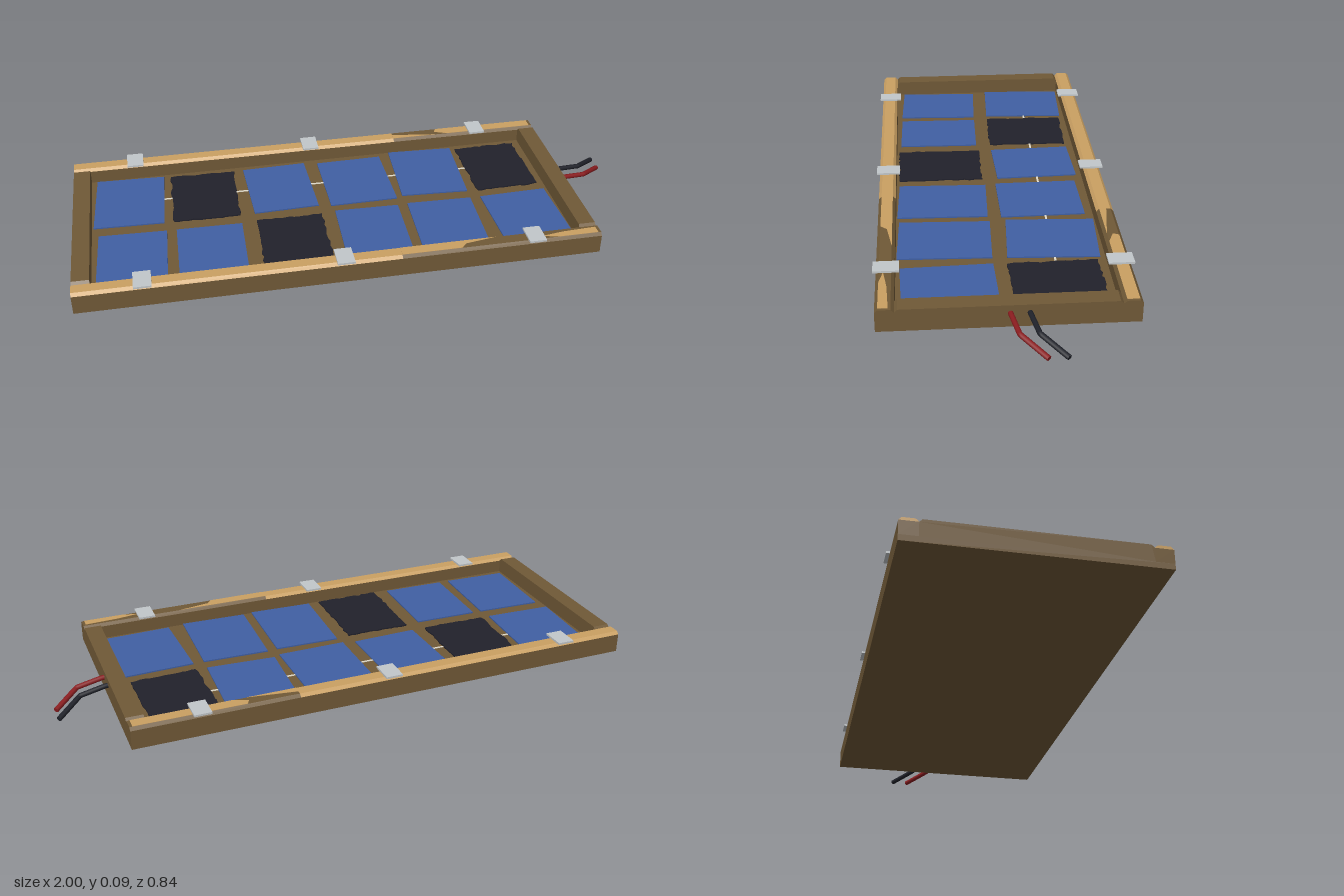
import * as THREE from 'three';

const mat = (name, color) => {
  const m = new THREE.MeshStandardMaterial({ color });
  m.name = name;
  return m;
};

export function createModel() {
  const group = new THREE.Group();
  const wood = mat('brown wood', 0x705937);
  const paleWood = mat('pale worn wood', 0xcaa062);
  const blue = mat('blue cell', 0x4060a4);
  const dark = mat('dark cell', 0x21212b);
  const metal = mat('clip metal', 0xc2c7ca);
  const cream = mat('tab wire', 0xe2dccb);
  const red = mat('red cable', 0x8c1d20);
  const black = mat('black cable', 0x20222a);

  const L = -1, R = 0.81, W = 0.41, TOP = 0.078, BEVEL = 0.01;
  const midX = (L + R) / 2;

  const add = (name, geo, material, x = 0, y = 0, z = 0) => {
    const m = new THREE.Mesh(geo, material);
    m.name = name;
    m.position.set(x, y, z);
    group.add(m);
    return m;
  };
  const box = (name, material, w, h, d, x, y, z) =>
    add(name, new THREE.BoxGeometry(w, h, d), material, x, y, z);
  const shape = (pts) => new THREE.Shape(pts.map(([x, y]) => new THREE.Vector2(x, y)));

  // Bar with a cross-section, chamfered along its top edges, running along x
  const bar = (name, material, x0, x1, z0, z1, y0, y1) => {
    const s = shape([[-z1, y0], [-z0, y0], [-z0, y1 - BEVEL], [-z0 - BEVEL, y1], [-z1 + BEVEL, y1], [-z1, y1 - BEVEL]]);
    const g = new THREE.ExtrudeGeometry(s, { depth: x1 - x0, bevelEnabled: false });
    g.rotateY(Math.PI / 2);
    return add(name, g, material, x0);
  };
  // Flat plate lying on the model, outlined in x and z
  const plate = (name, material, pts, y, thick) => {
    const g = new THREE.ExtrudeGeometry(shape(pts.map(([x, z]) => [x, -z])), { depth: thick, bevelEnabled: false });
    g.rotateX(-Math.PI / 2);
    return add(name, g, material, 0, y);
  };

  // Tray floor
  box('backBoard', wood, R - L, 0.02, 2 * W, midX, 0.01, 0);

  // Long rails, with a worn pale cap on part of their tops
  const rails = [{ name: 'backRail', z0: -W, z1: -0.35, split: 0.24 }, { name: 'frontRail', z0: 0.35, z1: W, split: 0.1 }];
  for (const { name, z0, z1, split } of rails) {
    const mid = TOP - BEVEL;
    box(name, wood, R - L, mid - 0.02, z1 - z0, midX, (mid + 0.02) / 2, (z0 + z1) / 2);
    bar(name + 'WornCap', paleWood, L, split, z0, z1, mid, TOP);
    bar(name + 'Cap', wood, split, R, z0, z1, mid, TOP);
  }
  // Worn patches on the brown part of the caps
  plate('backWornEdge', paleWood, [[0.24, -0.385], [0.33, -0.372], [0.41, -0.36], [0.24, -0.36]], TOP, 0.001);
  plate('backWornPatch', paleWood, [[0.42, -0.4], [0.8, -0.4], [0.8, -0.36], [0.46, -0.36], [0.41, -0.38]], TOP, 0.001);
  plate('frontWornEdge', paleWood, [[0.1, 0.36], [0.44, 0.36], [0.33, 0.378], [0.31, 0.4], [0.1, 0.4]], TOP, 0.001);
  plate('frontWornPatch', paleWood, [[0.6, 0.386], [0.68, 0.374], [0.8, 0.368], [0.8, 0.4], [0.66, 0.4]], TOP, 0.001);

  // Short end rails, chamfered on top and at the corners
  for (const [name, x] of [['rightEndRail', L + 0.03], ['leftEndRail', R - 0.03]]) {
    const h = 0.35;
    const s = shape([[-h, 0.02], [h, 0.02], [h, TOP - BEVEL], [h - BEVEL, TOP], [-h + BEVEL, TOP], [-h, TOP - BEVEL]]);
    const g = new THREE.ExtrudeGeometry(s, { depth: 0.06, bevelEnabled: false });
    g.rotateY(Math.PI / 2);
    add(name, g, wood, x - 0.03);
  }

  // Metal clips over the long rails
  for (const x of [-0.77, -0.095, 0.575])
    for (const side of [-1, 1])
      box('clip', metal, 0.06, 0.007, 0.085, x, 0.0825, side * 0.3775);

  // Cells: centre x, centre z, width, depth, turn in degrees, dark or not
  let seed = 7;
  const rand = () => ((seed = (seed * 16807) % 2147483647) / 2147483647) - 0.5;
  const cells = [
    [-0.8, -0.183, 0.25, 0.31, -2.5, 0], [-0.525, -0.172, 0.24, 0.3, -1, 1],
    [-0.24, -0.177, 0.24, 0.3, 2, 0], [0.052, -0.17, 0.25, 0.3, 1, 0],
    [0.333, -0.183, 0.25, 0.31, -2.5, 0], [0.604, -0.172, 0.235, 0.3, 1, 1],
    [-0.802, 0.175, 0.24, 0.3, -2, 0], [-0.527, 0.182, 0.235, 0.3, -1, 0],
    [-0.236, 0.184, 0.24, 0.31, -0.5, 1], [0.05, 0.183, 0.235, 0.32, -1.5, 0],
    [0.323, 0.184, 0.24, 0.32, -1.5, 0], [0.616, 0.178, 0.25, 0.31, 2, 0],
  ];
  for (const [x, z, w, d, turn, isDark] of cells) {
    // Dark cells have ragged edges
    const n = isDark ? 14 : 1;
    const rough = isDark ? 0.008 : 0.003;
    const corners = [[-w / 2, d / 2], [w / 2, d / 2], [w / 2, -d / 2], [-w / 2, -d / 2]];
    const pts = [];
    corners.forEach(([ax, az], i) => {
      const [bx, bz] = corners[(i + 1) % 4];
      for (let k = 0; k < n; k++) {
        const t = k / n;
        pts.push([ax + (bx - ax) * t + rand() * rough, az + (bz - az) * t + rand() * rough]);
      }
    });
    const cell = plate(isDark ? 'darkCell' : 'blueCell', isDark ? dark : blue, pts, 0.02, 0.005);
    cell.position.set(x, 0.02, z);
    cell.rotation.y = THREE.MathUtils.degToRad(turn);
  }
  // Tab wire joining the back row of cells
  box('tabWire', cream, 1.4, 0.002, 0.007, -0.1, 0.0215, -0.18);

  // Output cables from the left end
  const cable = (name, material, z) => {
    const p = [[0.79, 0.05, z], [0.82, 0.05, z - 0.004], [0.908, 0.041, z - 0.022], [0.994, 0.013, z - 0.1]]
      .map((a) => new THREE.Vector3(...a));
    const path = new THREE.CurvePath();
    for (let i = 0; i < 3; i++) path.add(new THREE.LineCurve3(p[i], p[i + 1]));
    add(name, new THREE.TubeGeometry(path, 24, 0.009, 8), material);
    // Cut end
    const end = add(name + 'End', new THREE.CircleGeometry(0.009, 8), material, p[3].x, p[3].y, p[3].z);
    end.quaternion.setFromUnitVectors(new THREE.Vector3(0, 0, 1), p[3].clone().sub(p[2]).normalize());
  };
  cable('redCable', red, 0);
  cable('blackCable', black, -0.06);

  return group;
}
